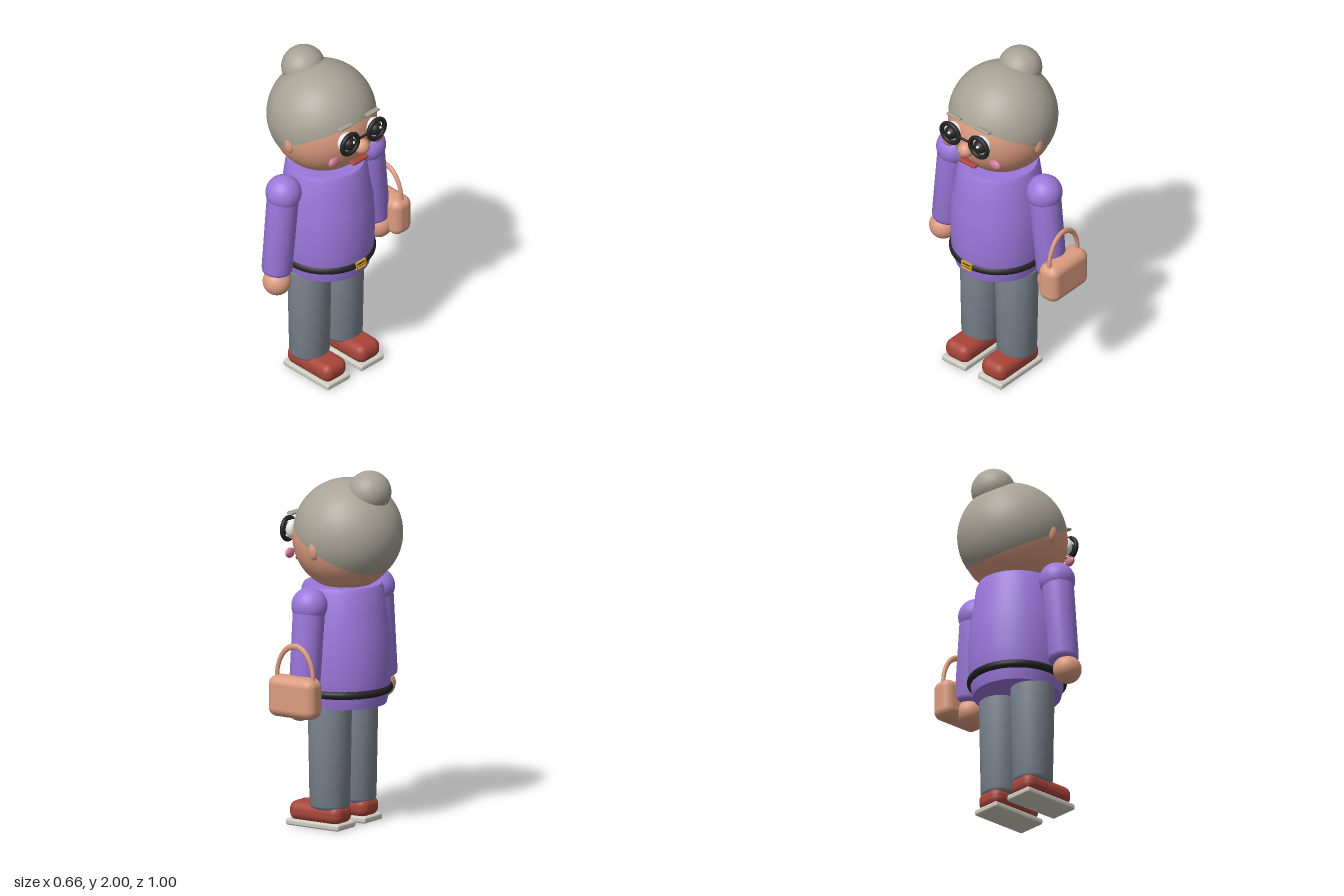
import * as THREE from 'three';
import { toCreasedNormals } from 'three/addons/utils/BufferGeometryUtils.js';
import { RoundedBoxGeometry } from 'three/addons/geometries/RoundedBoxGeometry.js';

function paint(name, color) {
  const m = new THREE.MeshStandardMaterial({ color });
  m.name = name;
  return m;
}

export function createModel() {
  const hair = paint('hair grey', 0xa8a396);
  const skin = paint('skin tan', 0xdc9c80);
  const knit = paint('sweater purple', 0x9b78dc);
  const cloth = paint('trouser grey', 0x7f8792);
  const red = paint('brick red', 0xa8453a);
  const sole = paint('sole pale grey', 0xcfcdc3);
  const black = paint('black', 0x232323);
  const pink = paint('blush pink', 0xd27c94);
  const gold = paint('gold', 0xc99a2c);
  const white = paint('eye white', 0xe8e8e6);

  const model = new THREE.Group();
  model.name = 'grandmother';
  const figure = new THREE.Group();
  figure.name = 'figure';
  figure.position.z = 0.03; // the bag on one side shifts the figure off centre
  model.add(figure);

  const add = (name, geometry, material, x = 0, y = 0, z = 0) => {
    const mesh = new THREE.Mesh(geometry, material);
    mesh.name = name;
    mesh.position.set(x, y, z);
    figure.add(mesh);
    return mesh;
  };
  const ball = (name, material, x, y, z, rx, ry = rx, rz = rx) => {
    const mesh = add(name, new THREE.SphereGeometry(1, 40, 28), material, x, y, z);
    mesh.scale.set(rx, ry, rz);
    return mesh;
  };
  const box = (name, material, x, y, z, w, h, d, r) =>
    add(name, new RoundedBoxGeometry(w, h, d, 4, r), material, x, y, z);
  const lathe = (points, crease = 0.6) => toCreasedNormals(
    new THREE.LatheGeometry(points.map(([r, y]) => new THREE.Vector2(r, y)), 48), crease);

  // Head, tilted hair cap and bun
  ball('head', skin, -0.018, 1.614, 0, 0.2955);
  const cap = add('hair', new THREE.SphereGeometry(0.303, 64, 40, 0, Math.PI * 2, 0, 1.82),
    hair, -0.032, 1.64, 0);
  cap.rotation.z = 0.51;
  hair.side = THREE.DoubleSide;
  ball('bun', hair, -0.175, 1.882, 0, 0.119, 0.118, 0.124);

  // Centre of the face
  ball('nose', skin, 0.284, 1.57, 0, 0.044);
  box('mouth', red, 0.262, 1.47, 0, 0.04, 0.022, 0.12, 0.01);
  const bridge = add('glassesBridge', new THREE.CylinderGeometry(0.007, 0.007, 0.09, 12),
    black, 0.297, 1.645, 0);
  bridge.rotation.x = Math.PI / 2;

  // Sweater with a flat collar top and closed hem
  add('sweater', lathe([[0, 0.685], [0.242, 0.685], [0.262, 0.77], [0.268, 0.88], [0.268, 0.98],
    [0.262, 1.1], [0.243, 1.2], [0.226, 1.33], [0.214, 1.356], [0, 1.356]]), knit, 0.004);

  // Belt and framed buckle
  const belt = add('belt', new THREE.TorusGeometry(0.252, 0.024, 14, 64), black, 0.003, 0.77, 0);
  belt.rotation.x = Math.PI / 2;
  for (const dy of [-0.021, 0, 0.021])
    box('buckleBar', gold, 0.275, 0.77 + dy, 0, 0.014, 0.01, 0.075, 0.003);
  for (const dz of [-0.033, 0.033])
    box('buckleSide', gold, 0.275, 0.77, dz, 0.014, 0.05, 0.01, 0.003);

  const legShape = lathe([[0, 0.112], [0.09, 0.112], [0.104, 0.118], [0.112, 0.135],
    [0.122, 0.69], [0, 0.69]], 0.9);
  const armShape = lathe([[0, -0.51], [0.068, -0.51], [0.08, -0.503], [0.085, -0.485],
    [0.089, 0], [0, 0]], 0.9);

  for (const s of [1, -1]) {
    // Eyes, glasses and brows
    ball('eye', white, 0.262, 1.64, s * 0.103, 0.035, 0.056, 0.056);
    ball('pupil', black, 0.28, 1.64, s * 0.103, 0.042, 0.04, 0.04);
    ball('eyeGlint', white, 0.314, 1.656, s * 0.103 - 0.008, 0.009);
    const rim = add('glassesRim', new THREE.TorusGeometry(0.06, 0.0135, 14, 48),
      black, 0.295, 1.64, s * 0.103);
    rim.rotation.y = Math.PI / 2;
    const brow = box('eyebrow', hair, 0.257, 1.735, s * 0.103, 0.036, 0.014, 0.096, 0.006);
    brow.rotation.z = 0.25;

    // Cheeks and ears
    ball('cheek', pink, 0.237, 1.522, s * 0.172, 0.018, 0.029, 0.037);
    ball('ear', skin, 0.002, 1.58, s * 0.28, 0.033, 0.056, 0.026);

    // Arm, leaning outward toward the hand
    ball('shoulder', knit, 0.001, 1.28, s * 0.326, 0.1);
    const arm = add('arm', armShape, knit, 0.001, 1.28, s * 0.328);
    arm.rotation.x = -s * 0.1;
    ball('hand', skin, 0.016, 0.722, s * 0.392, 0.079);

    // Leg and shoe
    add('leg', legShape, cloth, 0.002, 0, s * 0.127);
    box('shoe', red, 0.062, 0.083, s * 0.13, 0.34, 0.114, 0.168, 0.05);
    box('sole', sole, 0.062, 0.02, s * 0.13, 0.354, 0.036, 0.176, 0.012);
  }

  // Handbag with an arched handle
  box('handbag', skin, 0.002, 0.79, -0.464, 0.306, 0.23, 0.134, 0.05);
  const handle = add('bagHandle', new THREE.TorusGeometry(0.12, 0.012, 12, 40, Math.PI),
    skin, 0.002, 0.895, -0.464);
  handle.scale.y = 1.48;

  return model;
}
